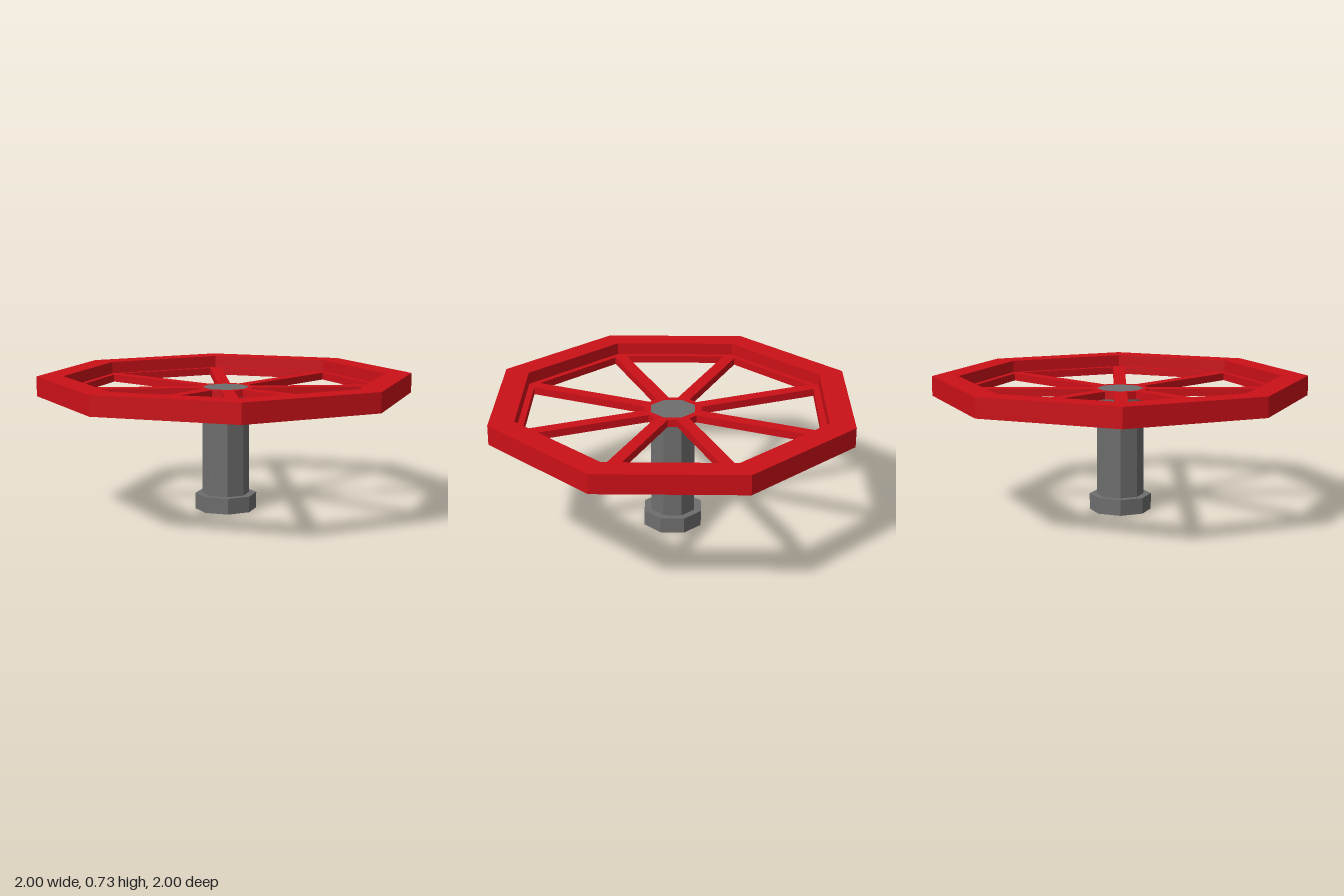
import * as THREE from 'three';

const SIDES = 8;
const STEP = (Math.PI * 2) / SIDES;

// Regular octagon outline with corners on the axes
function octagon(radius) {
  return Array.from({ length: SIDES }, (_, i) =>
    new THREE.Vector2(Math.cos(i * STEP) * radius, Math.sin(i * STEP) * radius));
}

// Opening between spoke k and the next one, parallel to the rim and hub sides
function spokeWindow(k, inner, outer, halfWidth) {
  const slope = Math.tan(STEP / 2);
  const corner = (radius, side) => {
    const u = radius - halfWidth * slope;
    const point = new THREE.Vector2(u, side * halfWidth);
    return point.rotateAround(new THREE.Vector2(), (side > 0 ? k : k + 1) * STEP);
  };
  return new THREE.Path([corner(inner, 1), corner(outer, 1), corner(outer, -1), corner(inner, -1)]);
}

// Flat slab lying between two heights
function slab(outline, holes, y0, y1) {
  const shape = new THREE.Shape(outline);
  shape.holes.push(...holes);
  const geometry = new THREE.ExtrudeGeometry(shape, { depth: y1 - y0, bevelEnabled: false });
  return geometry.rotateX(-Math.PI / 2).translate(0, y0, 0);
}

function octagonalPost(radius, y0, y1) {
  return new THREE.CylinderGeometry(radius, radius, y1 - y0, SIDES).translate(0, (y0 + y1) / 2, 0);
}

export function createModel() {
  const group = new THREE.Group();
  const red = new THREE.MeshStandardMaterial({ color: 0xcc1018, flatShading: true });
  const grey = new THREE.MeshStandardMaterial({ color: 0x6e6e6e, flatShading: true });
  const add = (name, geometry, material) => {
    const mesh = new THREE.Mesh(geometry, material);
    mesh.name = name;
    group.add(mesh);
  };

  const bottom = 0.62, spokeTop = 0.66, rimTop = 0.725;

  // Raised rim above the spokes
  add('rim', slab(octagon(1), [new THREE.Path(octagon(0.86))], spokeTop, rimTop), red);

  // Lower rim, ledge, spokes and hub ring cut from one plate
  const holes = [new THREE.Path(octagon(0.125))];
  for (let k = 0; k < SIDES; k++) holes.push(spokeWindow(k, 0.163, 0.825, 0.034));
  add('spokes', slab(octagon(1), holes, bottom, spokeTop), red);

  // Stem, flush with the top of the hub, and its foot
  add('stem', octagonalPost(0.125, 0.085, spokeTop), grey);
  add('foot', octagonalPost(0.165, 0, 0.085), grey);

  return group;
}
